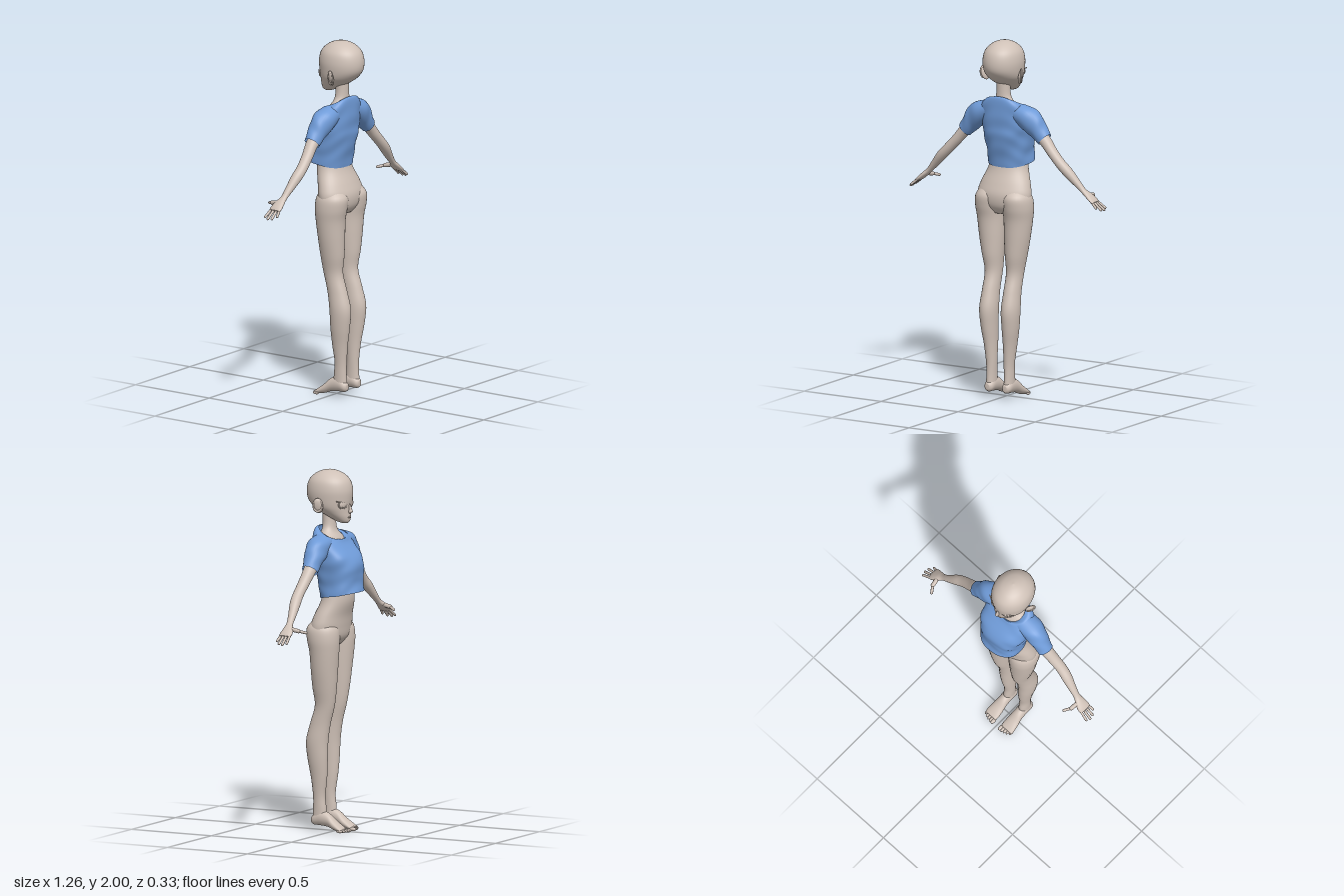
import * as THREE from 'three';

const skin = new THREE.MeshStandardMaterial({ color: 0xcfc1b7 });
skin.name = 'skin';
const cloth = new THREE.MeshStandardMaterial({ color: 0x6f9bd8, side: THREE.DoubleSide });
cloth.name = 'blueCloth';

const V = (x, y, z) => new THREE.Vector3(x, y, z);

// Smooth value between b and c
const spline = (a, b, c, d, t) =>
  b + 0.5 * t * (c - a + t * (2 * a - 5 * b + 4 * c - d + t * (3 * (b - c) + d - a)));

// Skin a row of elliptical sections [x, y, z, ru, rv, tilt]; u and v are the section axes
function loft(sections, { u = V(1, 0, 0), v = V(0, 0, 1), cap = true, seg = 32, sub = 5, power = 2, ripple } = {}) {
  const rows = [];
  const n = sections.length;
  const at = (i) => sections[Math.min(n - 1, Math.max(0, i))];
  for (let i = 0; i < n - 1; i++) {
    for (let s = 0; s < sub + (i === n - 2 ? 1 : 0); s++) {
      rows.push([0, 1, 2, 3, 4, 5].map((k) =>
        spline(at(i - 1)[k] ?? 0, at(i)[k] ?? 0, at(i + 1)[k] ?? 0, at(i + 2)[k] ?? 0, s / sub)));
    }
  }
  if (cap) {
    const close = (r) => [r[0], r[1], r[2], 0, 0, 0];
    rows.unshift(close(rows[0]));
    rows.push(close(rows[rows.length - 1]));
  }
  const pos = [], index = [];
  const round = (c) => Math.sign(c) * Math.abs(c) ** (2 / power);
  rows.forEach(([x, y, z, ru, rv, tilt], j) => {
    for (let i = 0; i < seg; i++) {
      const a = (i / seg) * Math.PI * 2;
      const k = ripple ? 1 + ripple(a, y) : 1;
      const p = V(x, y, z).addScaledVector(u, ru * k * round(Math.cos(a)))
        .addScaledVector(v, rv * k * round(Math.sin(a)));
      pos.push(p.x, p.y + tilt * Math.sin(a), p.z);
      if (j === 0) continue;
      const b = j * seg + i, c = j * seg + ((i + 1) % seg);
      index.push(b - seg, c - seg, c, b - seg, c, b);
    }
  });
  // Keep faces outward whichever way the sections run
  const along = V(...at(n - 1).slice(0, 3)).sub(V(...at(0).slice(0, 3)));
  if (u.clone().cross(v).dot(along) < 0) {
    for (let i = 0; i < index.length; i += 3) [index[i], index[i + 1]] = [index[i + 1], index[i]];
  }
  const g = new THREE.BufferGeometry();
  g.setAttribute('position', new THREE.Float32BufferAttribute(pos, 3));
  g.setIndex(index);
  g.computeVertexNormals();
  return g;
}

export function createModel() {
  const model = new THREE.Group();
  model.name = 'figure';
  const add = (name, geometry, material = skin, parent = model) => {
    const mesh = new THREE.Mesh(geometry, material);
    mesh.name = name;
    parent.add(mesh);
    return mesh;
  };
  const ball = (name, x, y, z, rx, ry, rz, parent) => {
    const m = add(name, new THREE.SphereGeometry(1, 20, 14), skin, parent);
    m.position.set(x, y, z);
    m.scale.set(rx, ry, rz);
    return m;
  };
  const rod = (name, a, b, r, parent) => {
    const d = b.clone().sub(a);
    const m = add(name, new THREE.CapsuleGeometry(r, d.length(), 4, 10), skin, parent);
    m.position.copy(a).lerp(b, 0.5);
    m.quaternion.setFromUnitVectors(V(0, 1, 0), d.normalize());
    return m;
  };

  // Head, tapering to the chin
  add('head', loft([
    [0, 1.708, -0.058, 0.014, 0.018], [0, 1.718, -0.048, 0.034, 0.038], [0, 1.742, -0.026, 0.058, 0.064],
    [0, 1.77, 0, 0.081, 0.089], [0, 1.80, 0.02, 0.099, 0.109], [0, 1.84, 0.032, 0.108, 0.127],
    [0, 1.89, 0.034, 0.111, 0.131], [0, 1.94, 0.034, 0.1, 0.117], [0, 1.975, 0.034, 0.07, 0.082],
    [0, 1.993, 0.034, 0.035, 0.041], [0, 2, 0.034, 0.003, 0.003],
  ], { seg: 40 }));
  add('nose', loft([
    [0, 1.82, -0.085, 0.006, 0.006], [0, 1.785, -0.092, 0.008, 0.012],
    [0, 1.772, -0.094, 0.011, 0.014], [0, 1.763, -0.088, 0.007, 0.006],
  ], { seg: 12 }));
  ball('lips', 0, 1.742, -0.086, 0.018, 0.005, 0.008);

  // Torso and neck
  add('torso', loft([
    [0, 1.035, 0.03, 0.08, 0.055], [0, 1.08, 0.028, 0.15, 0.086], [0, 1.14, 0.026, 0.164, 0.094],
    [0, 1.2, 0.012, 0.15, 0.088], [0, 1.28, -0.015, 0.119, 0.082], [0, 1.36, -0.02, 0.108, 0.075],
    [0, 1.45, -0.012, 0.115, 0.08], [0, 1.55, 0.015, 0.125, 0.076], [0, 1.62, 0.028, 0.1, 0.06],
    [0, 1.66, 0.035, 0.06, 0.042], [0, 1.7, 0.037, 0.041, 0.036], [0, 1.79, 0.04, 0.039, 0.036],
  ], { seg: 40 }));

  // Loose cropped shirt with soft folds and a scooped neckline
  const folds = (a, y) => 0.012 * Math.sin(5 * a + 40 * y) + 0.009 * Math.sin(75 * y + 3 * Math.cos(2 * a));
  add('shirtBody', loft([
    [0, 1.312, -0.046, 0.126, 0.112, -0.021], [0, 1.38, -0.034, 0.127, 0.114, -0.01],
    [0, 1.46, -0.026, 0.137, 0.125], [0, 1.52, -0.016, 0.147, 0.118], [0, 1.58, 0.008, 0.148, 0.096, 0.01],
    [0, 1.625, 0.022, 0.136, 0.082, 0.025], [0, 1.652, 0.026, 0.105, 0.072, 0.033],
    [0, 1.648, 0.024, 0.078, 0.06, 0.042],
  ], { cap: false, seg: 64, sub: 8, power: 2.4, ripple: folds }), cloth);

  for (const s of [1, -1]) {
    const side = s > 0 ? 'left' : 'right';
    const part = (name) => side + name;

    // Ear and eye
    const ear = ball(part('Ear'), s * 0.114, 1.808, 0.045, 0.012, 0.042, 0.026);
    ear.rotation.set(0.2, s * 0.5, -s * 0.3);
    const earRim = add(part('EarRim'), new THREE.TorusGeometry(0.024, 0.005, 8, 20));
    earRim.position.set(s * 0.12, 1.812, 0.045);
    earRim.rotation.set(0, Math.PI / 2 + s * 0.5, 0);
    earRim.scale.y = 1.4;
    const eye = new THREE.Group();
    eye.name = part('Eye');
    eye.position.set(s * 0.05, 1.815, -0.073);
    eye.rotation.y = Math.PI - s * 0.42;
    model.add(eye);
    ball('eyeball', 0, 0, 0, 0.024, 0.02, 0.008, eye);
    ball('iris', 0, 0, 0.007, 0.011, 0.014, 0.003, eye);
    const lid = add('eyelid', new THREE.TorusGeometry(0.027, 0.004, 8, 24), skin, eye);
    lid.scale.y = 0.8;
    rod('lashTip', V(-s * 0.02, 0.014, 0.004), V(-s * 0.042, 0.021, 0.002), 0.003, eye);
    rod('brow', V(s * 0.022, 0.036, -0.004), V(-s * 0.022, 0.042, -0.007), 0.003, eye);

    // Sleeve and arm, with sections square to the arm's slope
    const across = V(s * 0.707, 0.707, 0);
    add(part('Sleeve'), loft([
      [s * 0.075, 1.612, 0.028, 0.055, 0.06], [s * 0.14, 1.583, 0.028, 0.069, 0.064],
      [s * 0.19, 1.545, 0.025, 0.063, 0.057], [s * 0.225, 1.505, 0.022, 0.051, 0.049],
      [s * 0.257, 1.468, 0.02, 0.043, 0.044],
    ], { u: across, cap: false, ripple: (a, y) => 0.025 * Math.sin(3 * a + 90 * y) }), cloth);
    add(part('Arm'), loft([
      [s * 0.13, 1.58, 0.028, 0.045, 0.045], [s * 0.25, 1.472, 0.022, 0.034, 0.036],
      [s * 0.31, 1.405, 0.028, 0.029, 0.032], [s * 0.365, 1.348, 0.032, 0.028, 0.03],
      [s * 0.41, 1.304, 0.027, 0.028, 0.03], [s * 0.46, 1.25, 0.017, 0.021, 0.023],
      [s * 0.5, 1.208, 0.01, 0.015, 0.019], [s * 0.53, 1.183, 0.003, 0.015, 0.03],
      [s * 0.558, 1.16, 0.001, 0.013, 0.037], [s * 0.575, 1.147, 0.002, 0.008, 0.034],
    ], { u: across, seg: 24 }));

    // Fingers and thumb
    [[-0.028, 0.614, 1.117], [-0.009, 0.622, 1.11], [0.011, 0.617, 1.112], [0.029, 0.598, 1.124]].forEach(([z, x, y], i) =>
      rod(part('Finger' + (i + 1)), V(s * 0.56, 1.157, z * 0.9), V(s * x, y, z * 1.2), 0.0072));
    rod(part('ThumbBase'), V(s * 0.528, 1.184, -0.012), V(s * 0.522, 1.175, -0.055), 0.012);
    rod(part('ThumbTip'), V(s * 0.522, 1.175, -0.055), V(s * 0.498, 1.165, -0.09), 0.008);

    // Leg from hip to ankle
    add(part('Leg'), loft([
      [s * 0.08, 1.17, 0.03, 0.055, 0.06], [s * 0.084, 1.13, 0.032, 0.082, 0.09],
      [s * 0.088, 1.07, 0.027, 0.085, 0.092], [s * 0.086, 1.0, 0.022, 0.08, 0.083],
      [s * 0.081, 0.9, 0.024, 0.072, 0.076], [s * 0.075, 0.8, 0.026, 0.06, 0.069],
      [s * 0.069, 0.7, 0.028, 0.047, 0.057], [s * 0.069, 0.6, 0.055, 0.046, 0.059],
      [s * 0.07, 0.5, 0.075, 0.05, 0.064], [s * 0.068, 0.4, 0.073, 0.045, 0.058],
      [s * 0.062, 0.3, 0.068, 0.036, 0.047], [s * 0.057, 0.2, 0.069, 0.029, 0.036],
      [s * 0.057, 0.13, 0.066, 0.027, 0.039], [s * 0.057, 0.07, 0.066, 0.027, 0.043],
    ]));

    // Foot, heel to ball, then toes
    add(part('Foot'), loft([
      [s * 0.057, 0.062, 0.115, 0.012, 0.016], [s * 0.057, 0.064, 0.1, 0.026, 0.029],
      [s * 0.057, 0.075, 0.06, 0.03, 0.042], [s * 0.057, 0.065, 0.01, 0.031, 0.038],
      [s * 0.058, 0.04, -0.03, 0.037, 0.028], [s * 0.059, 0.023, -0.065, 0.04, 0.018],
      [s * 0.059, 0.015, -0.085, 0.037, 0.011],
    ], { v: V(0, 1, 0), seg: 24 }));
    for (let i = 0; i < 5; i++) {
      ball(part('Toe' + (i + 1)), s * (0.028 + i * 0.0155), 0.011, -0.094 + i * i * 0.0012,
        i ? 0.008 : 0.011, i ? 0.009 : 0.011, 0.02);
    }
  }
  return model;
}
